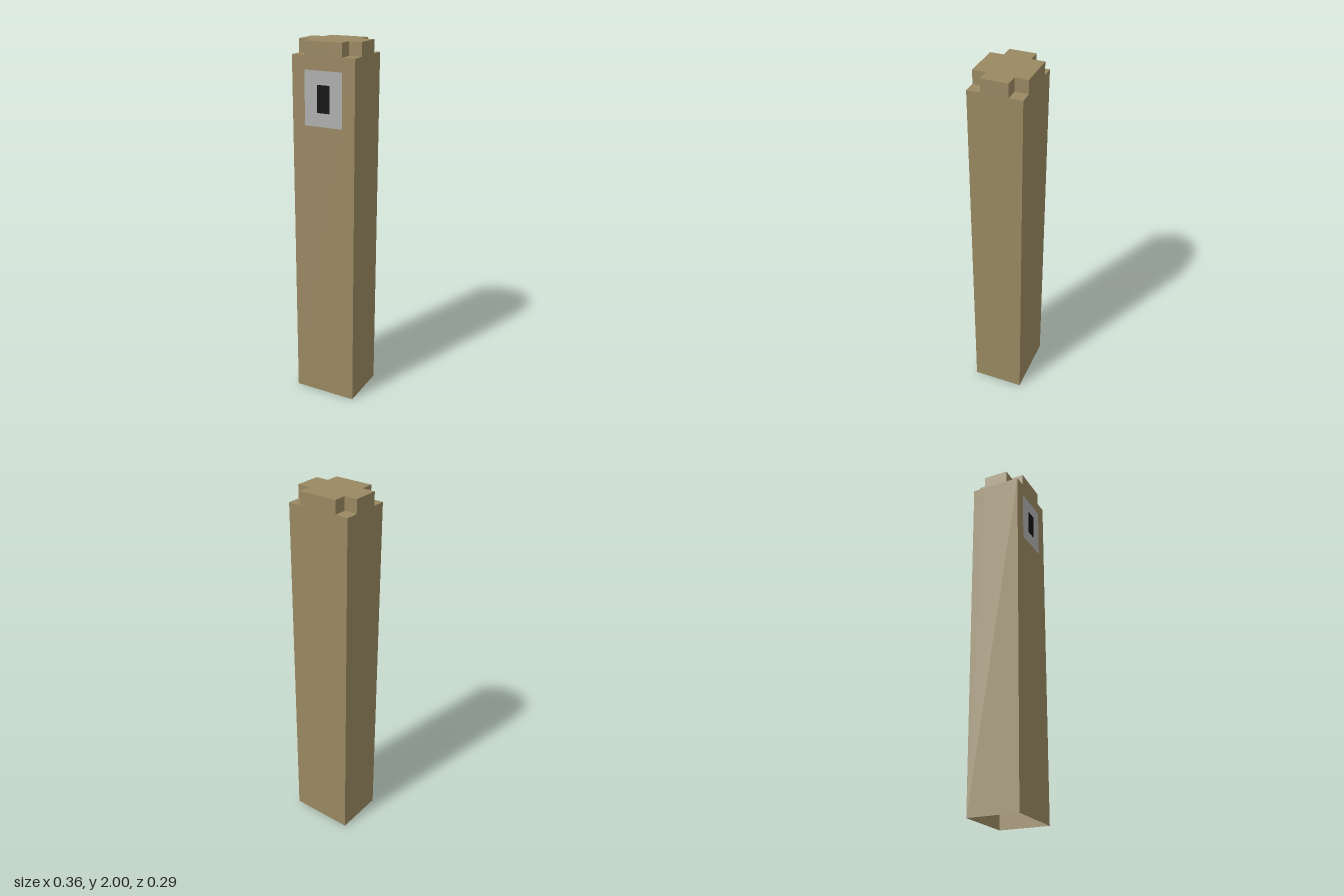
import * as THREE from 'three';
import { mergeGeometries } from 'three/addons/utils/BufferGeometryUtils.js';

const U = 1 / 14; // module unit: 5 wide, 4 deep, 28 high
const W = 2.5 * U, D = 2 * U, H = 28 * U;

const polygon = (pts) => new THREE.Shape(pts.map(([x, y]) => new THREE.Vector2(x, y)));

// Wall outline with both upper corners notched
function wall(half, angle, distance) {
  const shape = polygon([
    [-half, 0], [half, 0], [half, H - U], [half - U, H - U],
    [half - U, H], [U - half, H], [U - half, H - U], [-half, H - U],
  ]);
  return new THREE.ShapeGeometry(shape).translate(0, 0, distance).rotateY(angle);
}

// Cross-shaped cap
function cap() {
  const a = W - U, b = D - U;
  const shape = polygon([
    [-a, -D], [a, -D], [a, -b], [W, -b], [W, b], [a, b],
    [a, D], [-a, D], [-a, b], [-W, b], [-W, -b], [-a, -b],
  ]);
  return new THREE.ShapeGeometry(shape).rotateX(-Math.PI / 2).translate(0, H, 0);
}

// Ledge and two risers of one notched corner
function notch(sx, sz) {
  const tile = () => new THREE.PlaneGeometry(U, U);
  const x = sx * (W - U / 2), z = sz * (D - U / 2);
  return [
    tile().rotateX(-Math.PI / 2).translate(x, H - U, z),
    tile().rotateY(sx * Math.PI / 2).translate(sx * (W - U), H - U / 2, z),
    tile().rotateY(sz > 0 ? 0 : Math.PI).translate(x, H - U / 2, sz * (D - U)),
  ];
}

export function createModel() {
  const model = new THREE.Group();
  model.name = 'notchedPillar';
  const add = (name, geometry, color) => {
    const material = new THREE.MeshStandardMaterial({ color, side: THREE.DoubleSide });
    const mesh = new THREE.Mesh(geometry, material);
    mesh.name = name;
    model.add(mesh);
    return mesh;
  };

  // Hollow pillar shell, open underneath
  const parts = [
    wall(W, 0, D), wall(W, Math.PI, D),
    wall(D, Math.PI / 2, W), wall(D, -Math.PI / 2, W),
    cap(),
  ];
  for (const sx of [-1, 1]) for (const sz of [-1, 1]) parts.push(...notch(sx, sz));
  add('pillarShell', mergeGeometries(parts), 0x998962);

  // Front plate with a dark slot in its middle
  const rect = (w, h) => [[-w, -h], [w, -h], [w, h], [-w, h]];
  const frame = polygon(rect(1.5 * U, 2 * U));
  frame.holes.push(polygon(rect(0.5 * U, U)));
  const y = 24 * U, z = D + 0.0008;
  add('frontPlate', new THREE.ShapeGeometry(frame), 0xb0b0b0).position.set(0, y, z);
  add('plateSlot', new THREE.PlaneGeometry(U, 2 * U), 0x111111).position.set(0, y, z);

  return model;
}
